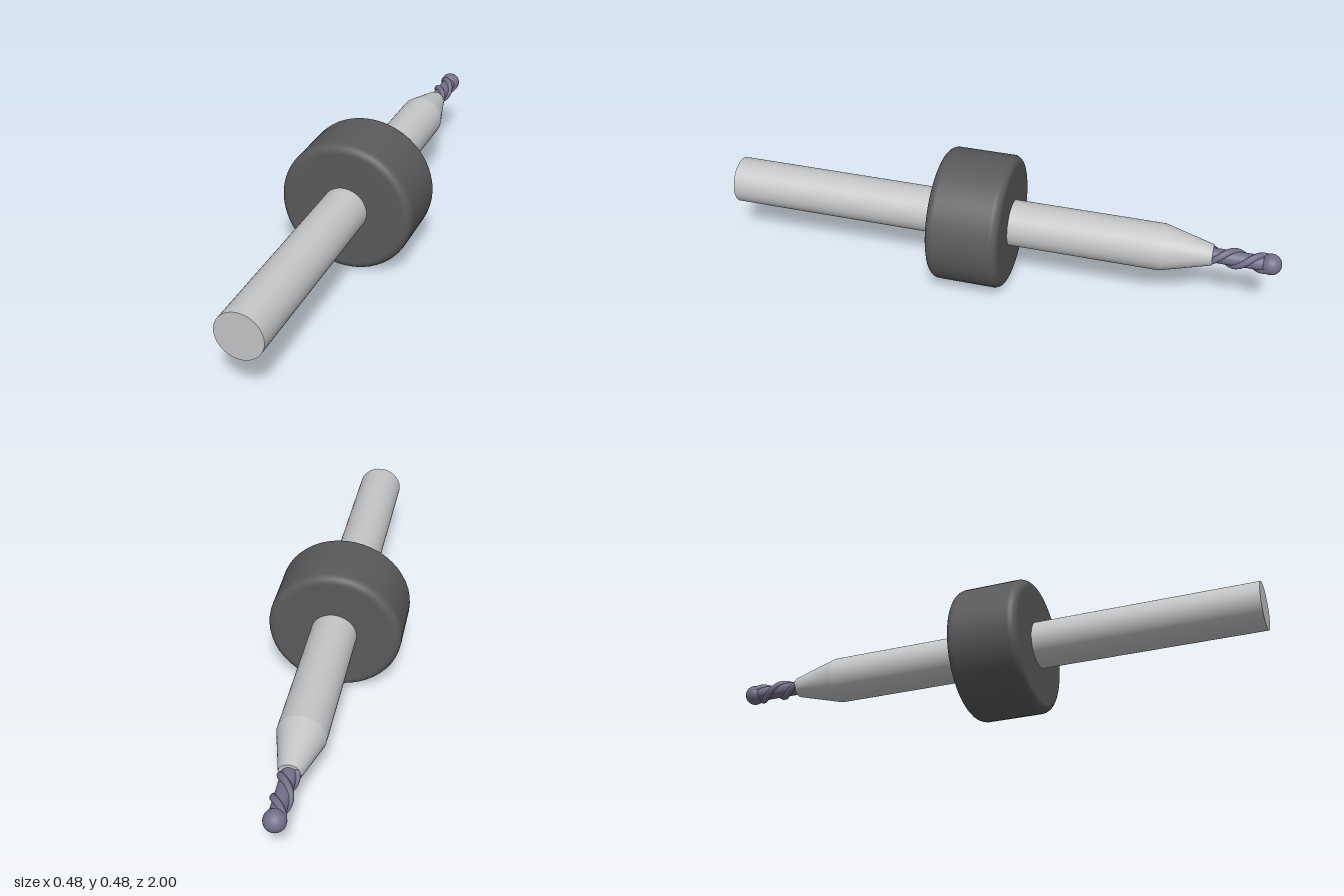
import * as THREE from 'three';

const AXIS_Y = 0.242;
const steel = new THREE.MeshStandardMaterial({ color: 0xc4c5c7 });
steel.name = 'steel';
const rubber = new THREE.MeshStandardMaterial({ color: 0x5a5a5c });
rubber.name = 'darkCollar';
const carbide = new THREE.MeshStandardMaterial({ color: 0x74708a });
carbide.name = 'carbide';

// Left-handed helix running along z
class Helix extends THREE.Curve {
  constructor(radius, z0, z1, pitch, phase) {
    super();
    Object.assign(this, { radius, z0, z1, pitch, phase });
  }
  getPoint(t, target = new THREE.Vector3()) {
    const z = this.z0 + (this.z1 - this.z0) * t;
    const a = this.phase - ((z + 0.87) / this.pitch) * Math.PI * 2;
    return target.set(Math.cos(a) * this.radius, Math.sin(a) * this.radius, z);
  }
}

export function createModel() {
  const group = new THREE.Group();
  group.name = 'ballNoseCutter';
  const tool = new THREE.Group();
  tool.name = 'tool';
  tool.position.y = AXIS_Y;
  group.add(tool);

  const add = (name, geometry, material) => {
    const mesh = new THREE.Mesh(geometry, material);
    mesh.name = name;
    tool.add(mesh);
    return mesh;
  };
  // Cylinder along z, with a front (+z) and a back radius
  const rod = (name, rFront, rBack, zFront, zBack, material) => {
    const g = new THREE.CylinderGeometry(rFront, rBack, zFront - zBack, 48);
    g.rotateX(Math.PI / 2);
    g.translate(0, 0, (zFront + zBack) / 2);
    return add(name, g, material);
  };

  // Shank and tapered neck
  rod('shank', 0.083, 0.083, 1, -0.59, steel);
  rod('neck', 0.083, 0.037, -0.59, -0.765, steel);

  // Collar with rounded rims
  const R = 0.241, r = 0.03, back = -0.05, front = 0.21;
  const profile = [new THREE.Vector2(0, back)];
  for (const [z, start] of [[back + r, -Math.PI / 2], [front - r, 0]]) {
    for (let i = 0; i <= 6; i++) {
      const a = start + (i / 6) * Math.PI / 2;
      profile.push(new THREE.Vector2(R - r + r * Math.cos(a), z + r * Math.sin(a)));
    }
  }
  profile.push(new THREE.Vector2(0, front));
  const collar = new THREE.LatheGeometry(profile, 48);
  collar.rotateX(Math.PI / 2);
  add('collar', collar, rubber);

  // Cutter core, two spiral flutes and ball tip
  rod('cutterCore', 0.026, 0.026, -0.76, -0.965, carbide);
  for (let i = 0; i < 2; i++) {
    const path = new Helix(0.025, -0.755, -0.965, 0.19, i * Math.PI);
    add('spiralFlute' + (i + 1), new THREE.TubeGeometry(path, 64, 0.012, 10), carbide);
  }
  const ball = new THREE.SphereGeometry(0.037, 32, 20);
  ball.translate(0, 0, -0.963);
  add('ballTip', ball, carbide);

  return group;
}
